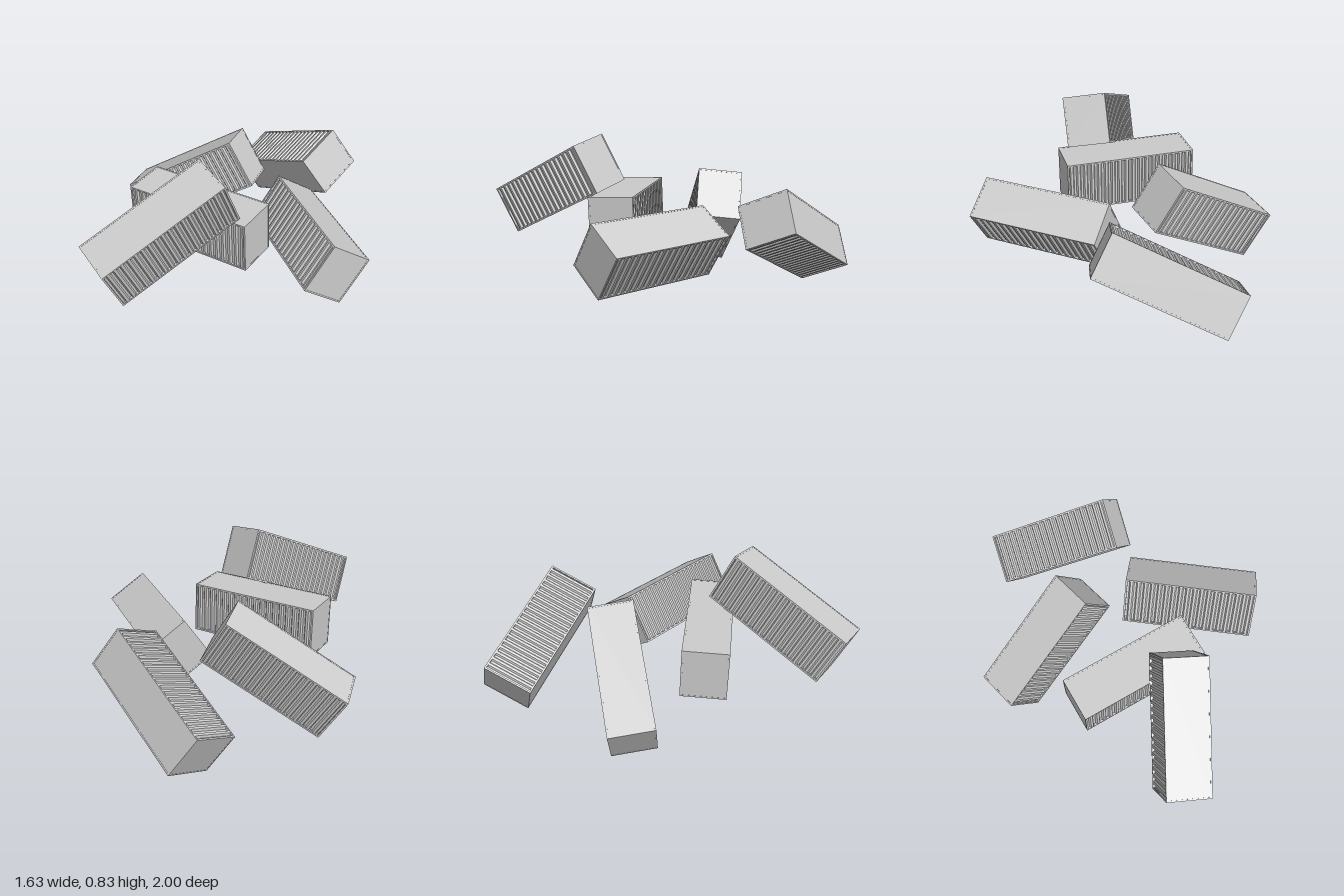
import * as THREE from 'three';

const LEN = 0.718, HGT = 0.277, WID = 0.24;
const RAIL = 0.009, DEPTH = 0.011, RIBS = 18;
const material = new THREE.MeshStandardMaterial({ color: 0xcccccc, flatShading: true });

function addBox(group, name, size, position) {
  const mesh = new THREE.Mesh(new THREE.BoxGeometry(...size), material);
  mesh.name = name;
  mesh.position.set(...position);
  group.add(mesh);
}

// Plan outline with trapezoidal ribs along both long sides, extruded upwards
function corrugatedBody() {
  const half = LEN / 2 - RAIL, outer = WID / 2 - 0.001, inner = outer - DEPTH;
  const pitch = (2 * half) / RIBS;
  const side = [];
  for (let i = 0; i < RIBS; i++) {
    const x = -half + i * pitch;
    side.push([x, inner], [x + pitch * 0.3, inner], [x + pitch * 0.48, outer], [x + pitch * 0.82, outer]);
  }
  side.push([half, inner]);
  const points = side.map(([x, y]) => new THREE.Vector2(x, -y));
  points.push(...side.reverse().map(([x, y]) => new THREE.Vector2(x, y)));
  const depth = HGT - 2 * RAIL;
  const geometry = new THREE.ExtrudeGeometry(new THREE.Shape(points), { depth, bevelEnabled: false });
  return geometry.translate(0, 0, -depth / 2).rotateX(-Math.PI / 2);
}

function createContainer(bodyGeometry) {
  const group = new THREE.Group();
  const body = new THREE.Mesh(bodyGeometry, material);
  body.name = 'corrugatedWalls';
  group.add(body);
  for (const s of [-1, 1]) {
    const panelY = s * (HGT / 2 - RAIL / 2 - 0.001);
    addBox(group, s > 0 ? 'roof' : 'floor', [LEN - RAIL, RAIL, WID - RAIL], [0, panelY, 0]);
    addBox(group, 'endPanel', [RAIL, HGT - RAIL, WID - RAIL], [s * (LEN / 2 - RAIL / 2 - 0.001), 0, 0]);
    // Frame: rails along every edge and posts at the corners
    for (const t of [-1, 1]) {
      const x = s * (LEN - RAIL) / 2, y = t * (HGT - RAIL) / 2, z = t * (WID - RAIL) / 2;
      addBox(group, 'cornerPost', [RAIL, HGT, RAIL], [x, 0, z]);
      addBox(group, 'endRail', [RAIL, RAIL, WID - 2 * RAIL], [x, y, 0]);
      addBox(group, 'sideRail', [LEN - 2 * RAIL, RAIL, RAIL], [0, s * (HGT - RAIL) / 2, z]);
    }
  }
  return group;
}

// Each container: centre, direction of its length, direction of its height
const placements = [
  ['frontContainer', [-0.032, 0.545, 0.595], [0.29, 0.30, -0.585], [0, 0.24, 0.125]],
  ['middleContainer', [-0.09, 0.40, 0.205], [0.715, 0.003, -0.025], [0, 0.28, 0.01]],
  ['leftContainer', [0.418, 0.31, -0.073], [0.585, 0, 0.42], [0.09, 0.23, -0.12]],
  ['rightContainer', [-0.418, 0.33, -0.205], [0.58, 0.37, -0.2], [-0.145, 0.24, 0.015]],
  ['rearContainer', [-0.065, 0.31, -0.728], [0.605, 0.295, 0.235], [0.045, 0.105, -0.245]],
];

export function createModel() {
  const model = new THREE.Group();
  model.name = 'scatteredContainers';
  const bodyGeometry = corrugatedBody();
  for (const [name, centre, along, upward] of placements) {
    const container = createContainer(bodyGeometry);
    container.name = name;
    const x = new THREE.Vector3(...along).normalize();
    const z = x.clone().cross(new THREE.Vector3(...upward)).normalize();
    const y = z.clone().cross(x);
    container.quaternion.setFromRotationMatrix(new THREE.Matrix4().makeBasis(x, y, z));
    container.position.set(...centre);
    model.add(container);
  }
  return model;
}
